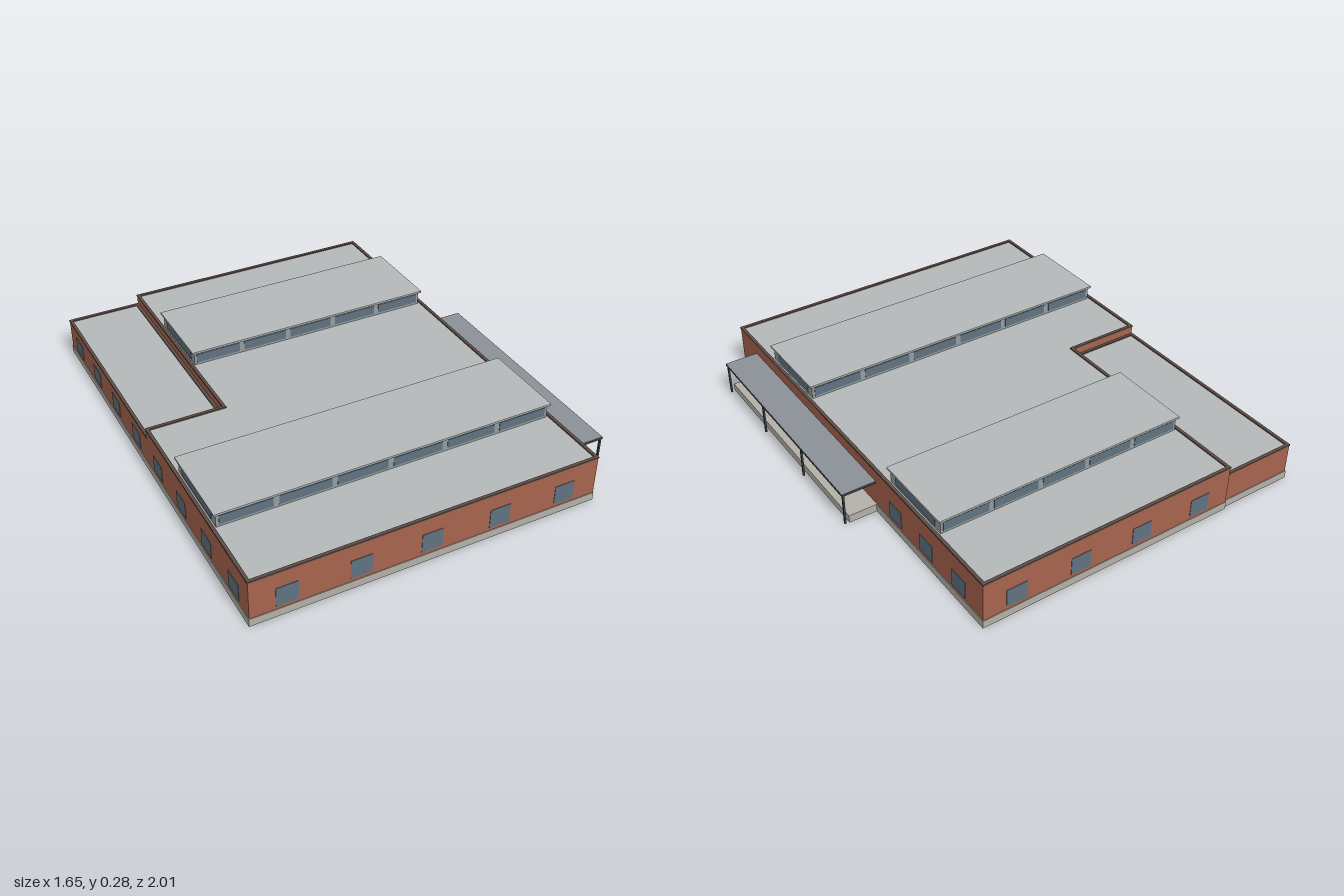
import * as THREE from 'three';

const mat = (color) => new THREE.MeshStandardMaterial({ color });
const BRICK = mat(0xa8644f), STONE = mat(0xb2b0a8), ROOF = mat(0xb4b8b8), COPING = mat(0x5e4c46);
const GLASS = mat(0x5f7280), DOOR = mat(0x484c50), FRAME = mat(0x959d9f), CANOPY = mat(0x8b9198), STEEL = mat(0x3c3f45);

// Footprints as [x, z] outlines, inset by t
const mainPlan = (t) => [
  [-0.825 + t, 1 - t], [0.675 - t, 1 - t], [0.675 - t, -1 + t],
  [-0.488 + t, -1 + t], [-0.488 + t, 0.012 + t], [-0.825 + t, 0.012 + t],
];
const wingPlan = (t) => [
  [-0.825 + t, 0.012 - t], [-0.49 - t, 0.012 - t], [-0.49 - t, -0.992 + t], [-0.825 + t, -0.992 + t],
];

export function createModel() {
  const model = new THREE.Group();
  const add = (parent, name, geometry, material) => {
    const mesh = new THREE.Mesh(geometry, material);
    mesh.name = name;
    parent.add(mesh);
    return mesh;
  };
  const group = (name) => {
    const g = new THREE.Group();
    g.name = name;
    model.add(g);
    return g;
  };
  // Box given by its limits
  const box = (parent, name, material, x0, x1, y0, y1, z0, z1) => {
    const mesh = add(parent, name, new THREE.BoxGeometry(x1 - x0, y1 - y0, z1 - z0), material);
    mesh.position.set((x0 + x1) / 2, (y0 + y1) / 2, (z0 + z1) / 2);
  };
  // Upright prism over a footprint, optionally hollow
  const prism = (parent, name, material, outer, inner, y0, y1) => {
    const points = (plan) => plan.map(([x, z]) => new THREE.Vector2(x, -z));
    const shape = new THREE.Shape(points(outer));
    if (inner) shape.holes.push(new THREE.Path(points(inner)));
    const geometry = new THREE.ExtrudeGeometry(shape, { depth: y1 - y0, bevelEnabled: false });
    geometry.rotateX(-Math.PI / 2).translate(0, y0, 0);
    add(parent, name, geometry, material);
  };

  // Open-bottomed brick blocks with flat roofs and copings
  for (const [name, plan, top] of [['mainBlock', mainPlan, 0.212], ['lowWing', wingPlan, 0.172]]) {
    const block = group(name);
    prism(block, 'walls', BRICK, plan(0), plan(0.01), 0, top - 0.007);
    prism(block, 'roof', ROOF, plan(0.009), null, top - 0.014, top - 0.006);
    prism(block, 'coping', COPING, plan(-0.002), plan(0.012), top - 0.007, top);
  }

  // Stone base bands
  const base = group('plinth');
  const e = 0.003, h = 0.035;
  box(base, 'plinthFront', STONE, -0.825 - e, 0.675, 0, h, 0.998, 1 + e);
  box(base, 'plinthRight', STONE, 0.673, 0.675 + e, 0, h, -1 - e, -0.24);
  box(base, 'plinthBack', STONE, -0.488, 0.675, 0, h, -1 - e, -0.998);
  box(base, 'plinthWingBack', STONE, -0.825 - e, -0.488, 0, h, -0.992 - e, -0.99);
  box(base, 'plinthLeft', STONE, -0.825 - e, -0.823, 0, h, -0.992 - e, 1);

  // Wall windows and doors
  const openings = group('windowsAndDoors');
  const w = 0.045, p = 0.002;
  for (let i = 0; i < 5; i++) {
    const x = -0.675 + i * 0.3;
    box(openings, 'frontWindow', GLASS, x - w, x + w, 0.05, 0.135, 0.998, 1 + p);
    const z = -0.04 + i * 0.202;
    box(openings, 'porchDoor', DOOR, 0.673, 0.675 + p, h, 0.115, z - 0.042, z + 0.042);
  }
  for (let i = 0; i < 4; i++) {
    const x = -0.34 + i * 0.29;
    box(openings, 'backWindow', GLASS, x - w, x + w, 0.05, 0.13, -1 - p, -0.998);
  }
  for (let i = 0; i < 3; i++) {
    const z = -0.84 + i * 0.225;
    box(openings, 'rightWindow', GLASS, 0.673, 0.675 + p, 0.05, 0.127, z - w, z + w);
  }
  for (let i = 0; i < 8; i++) {
    const z = -0.865 + i * 0.248;
    box(openings, 'leftWindow', GLASS, -0.825 - p, -0.823, 0.05, 0.125, z - w, z + w);
  }

  // Raised roof lights with glazing on all four sides
  const roofLight = (name, x0, x1, zMid, panes) => {
    const g = group(name);
    const d = 0.18, pitch = (x1 - x0) / panes;
    box(g, 'body', FRAME, x0, x1, 0.2, 0.266, zMid - d, zMid + d);
    box(g, 'cap', ROOF, x0 - 0.01, x1 + 0.01, 0.266, 0.275, zMid - d - 0.01, zMid + d + 0.01);
    for (const s of [-1, 1]) {
      const z = zMid + s * d;
      for (let i = 0; i < panes; i++) {
        const x = x0 + (i + 0.5) * pitch;
        box(g, 'sidePane', GLASS, x - pitch * 0.45, x + pitch * 0.45, 0.216, 0.257, z - p, z + p);
      }
    }
    for (const x of [x0, x1]) {
      box(g, 'endPane', GLASS, x - p, x + p, 0.216, 0.257, zMid - 0.142, zMid + 0.142);
    }
  };
  roofLight('frontRoofLight', -0.806, 0.655, 0.504, 6);
  roofLight('rearRoofLight', -0.47, 0.655, -0.51, 5);

  // Side porch: platform, canopy with steel edge, and posts
  const porch = group('porch');
  box(porch, 'platform', STONE, 0.675, 0.802, 0, h, -0.24, 0.845);
  box(porch, 'canopy', CANOPY, 0.675, 0.825, 0.147, 0.154, -0.24, 0.845);
  box(porch, 'edgeBeam', STEEL, 0.818, 0.826, 0.143, 0.152, -0.241, 0.846);
  for (const z of [-0.237, 0.842]) {
    box(porch, 'endBeam', STEEL, 0.675, 0.82, 0.143, 0.152, z - 0.004, z + 0.004);
  }
  for (let i = 0; i < 4; i++) {
    const z = -0.234 + i * 0.358;
    box(porch, 'post', STEEL, 0.814, 0.822, 0, 0.147, z - 0.004, z + 0.004);
  }

  return model;
}
